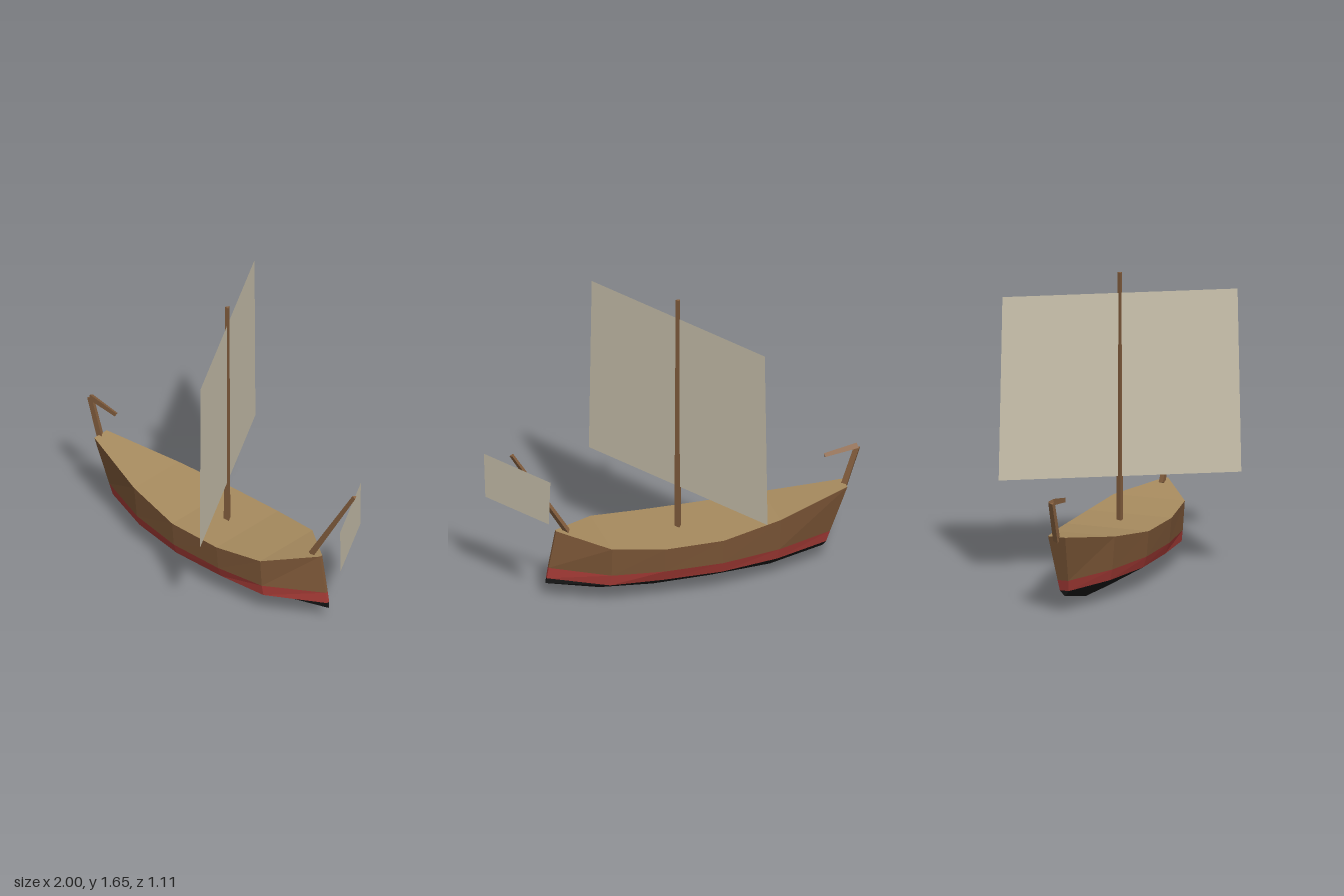
import * as THREE from 'three';

const material = (color) => new THREE.MeshStandardMaterial({ color, flatShading: true, side: THREE.DoubleSide });
const wood = material(0x7a5536), deckWood = material(0xa68a5e), spar = material(0x86603f);
const red = material(0xa33a35), black = material(0x181818), cloth = material(0xcbc3ae);

// Hull lines from stern to bow, each station as [x, y, half width]
const keel = [[-0.79, 0.09, 0.003], [-0.5, 0.022, 0.003], [-0.18, 0.004, 0.003], [0.14, 0, 0.003], [0.43, 0.022, 0.003], [0.725, 0.09, 0.003]];
const chine = [[-0.80, 0.12, 0.025], [-0.5, 0.12, 0.14], [-0.18, 0.12, 0.2], [0.14, 0.12, 0.2], [0.425, 0.12, 0.18], [0.72, 0.12, 0.008]];
const stripe = [[-0.82, 0.18, 0.03], [-0.505, 0.18, 0.155], [-0.18, 0.18, 0.22], [0.14, 0.18, 0.222], [0.42, 0.18, 0.188], [0.71, 0.18, 0.008]];
const rail = [[-0.91, 0.435, 0.048], [-0.51, 0.36, 0.17], [-0.18, 0.318, 0.232], [0.14, 0.316, 0.235], [0.42, 0.34, 0.2], [0.67, 0.39, 0.008]];

function quadMesh(name, quads, mat) {
  const positions = quads.flatMap(([a, b, c, d]) => [a, b, c, a, c, d].flat());
  const geometry = new THREE.BufferGeometry();
  geometry.setAttribute('position', new THREE.Float32BufferAttribute(positions, 3));
  geometry.computeVertexNormals();
  const mesh = new THREE.Mesh(geometry, mat);
  mesh.name = name;
  return mesh;
}

// Closed ring around the hull: along the left side, then back along the mirrored side
const ring = (line) => [...line, ...line.map(([x, y, z]) => [x, y, -z]).reverse()];

function hullBand(name, lower, upper, mat) {
  const a = ring(lower), b = ring(upper);
  return quadMesh(name, a.map((p, i) => {
    const j = (i + 1) % a.length;
    return [p, a[j], b[j], b[i]];
  }), mat);
}

// Three-sided tapered pole between two points
function pole(name, from, to, r0, r1) {
  const start = new THREE.Vector3(...from), end = new THREE.Vector3(...to);
  const dir = end.clone().sub(start);
  const geometry = new THREE.CylinderGeometry(r1, r0, dir.length(), 3);
  geometry.rotateY(Math.PI);
  const mesh = new THREE.Mesh(geometry, spar);
  mesh.name = name;
  mesh.position.copy(start).add(end).multiplyScalar(0.5);
  mesh.quaternion.setFromUnitVectors(new THREE.Vector3(0, 1, 0), dir.normalize());
  return mesh;
}

// Flat sail turned 60 degrees to the hull, with different top and bottom widths
function sail(name, x, y0, y1, half0, half1) {
  const mesh = quadMesh(name, [[[-half0, y0, 0], [half0, y0, 0], [half1, y1, 0], [-half1, y1, 0]]], cloth);
  mesh.position.x = x;
  mesh.rotation.y = -Math.PI / 3;
  return mesh;
}

export function createModel() {
  const model = new THREE.Group();
  model.name = 'sailingShip';

  // Hull
  model.add(
    hullBand('hullBottom', keel, chine, black),
    hullBand('hullStripe', chine, stripe, red),
    hullBand('hullSides', stripe, rail, wood),
  );

  // Deck
  const flip = ([x, y, z]) => [x, y, -z];
  model.add(quadMesh('deck', rail.slice(1).map((p, i) => [rail[i], p, flip(p), flip(rail[i])]), deckWood));

  // Mast, bowsprit and stern ornament
  model.add(
    pole('mast', [0, 0.31, 0], [0, 1.65, 0], 0.021, 0.014),
    pole('bowsprit', [0.605, 0.375, 0], [0.91, 0.87, 0], 0.02, 0.013),
    pole('sternPost', [-0.905, 0.41, 0], [-0.98, 0.635, 0], 0.022, 0.02),
    pole('sternPostTip', [-0.98, 0.64, 0], [-0.80, 0.61, 0], 0.02, 0.014),
  );

  // Sails
  model.add(
    sail('mainSail', 0, 0.552, 1.54, 0.642, 0.622),
    sail('foreSail', 0.88, 0.54, 0.79, 0.228, 0.239),
  );
  return model;
}
